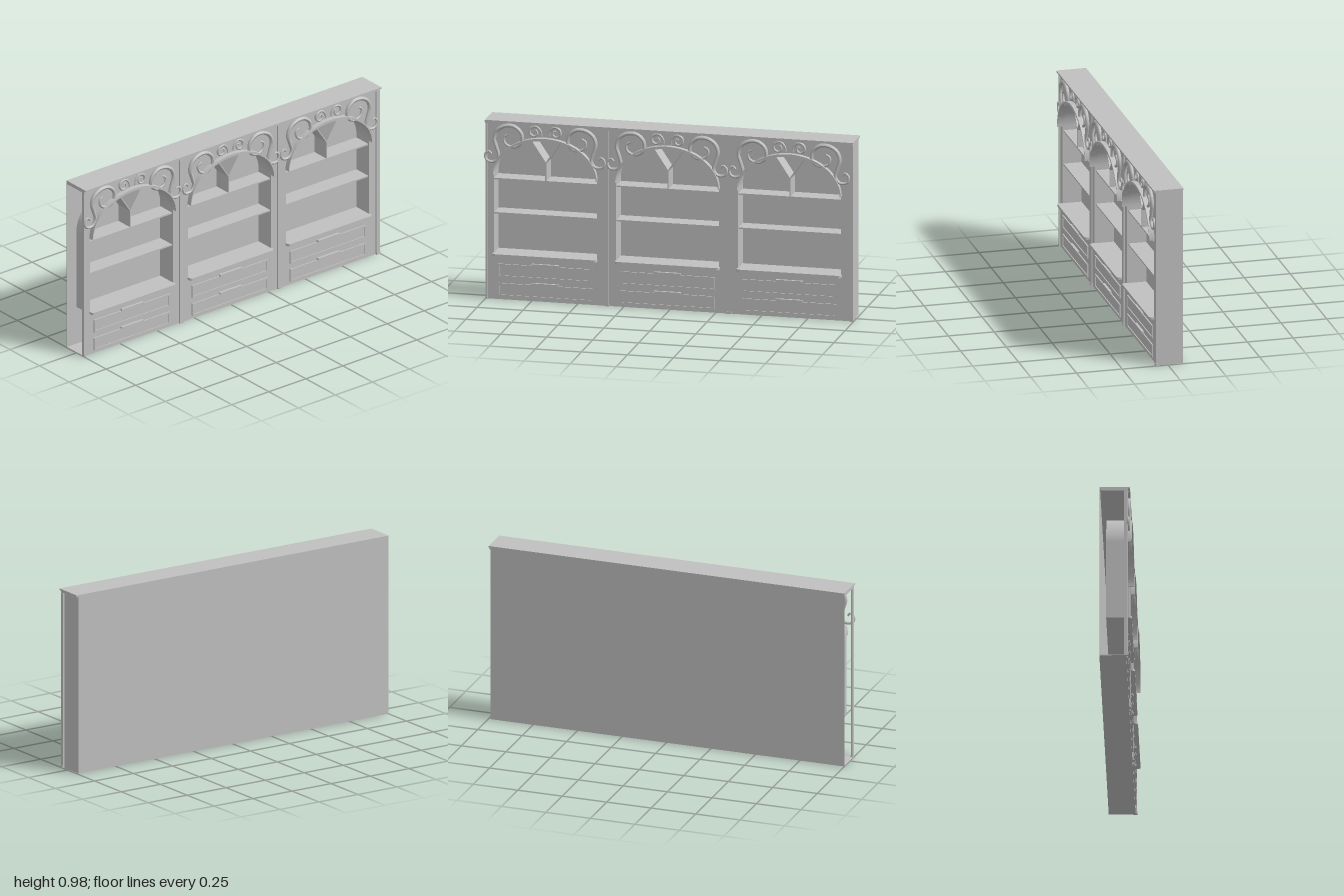
import * as THREE from 'three';

const grey = new THREE.MeshStandardMaterial({ color: 0xc0c0c0 });
grey.name = 'plainGrey';

const BACK = -0.085, FACE = 0.057, BAY_BACK = -0.05;
const HALF = 0.28, SILL = 0.25, SPRING = 0.68, RISE = 0.212;

function add(parent, name, geometry, x = 0, y = 0, z = 0) {
  const mesh = new THREE.Mesh(geometry, grey);
  mesh.name = name;
  mesh.position.set(x, y, z);
  parent.add(mesh);
  return mesh;
}

// box given by its limits on each axis
function slab(parent, name, x0, x1, y0, y1, z0, z1) {
  return add(parent, name, new THREE.BoxGeometry(x1 - x0, y1 - y0, z1 - z0),
    (x0 + x1) / 2, (y0 + y1) / 2, (z0 + z1) / 2);
}

const extrude = (shape, depth) =>
  new THREE.ExtrudeGeometry(shape, { depth, bevelEnabled: false, curveSegments: 32 });

// arched bay outline, grown outwards by g
function archPath(path, cx, g) {
  path.moveTo(cx - HALF - g, SILL - g);
  path.lineTo(cx + HALF + g, SILL - g);
  path.lineTo(cx + HALF + g, SPRING);
  path.absellipse(cx, SPRING, HALF + g, RISE + g, 0, Math.PI, false);
  path.lineTo(cx - HALF - g, SILL - g);
  return path;
}

// round scroll whose radius shrinks towards both ends
function scroll(points, radius, side) {
  const curve = new THREE.CatmullRomCurve3(
    points.map(([x, y]) => new THREE.Vector3(x * side, y, 0)));
  const rings = 72, around = 8;
  const geometry = new THREE.TubeGeometry(curve, rings, radius, around, false);
  const pos = geometry.attributes.position, v = new THREE.Vector3();
  for (let i = 0; i <= rings; i++) {
    const centre = curve.getPointAt(i / rings);
    const k = 0.5 + 0.5 * Math.sin(Math.PI * i / rings);
    for (let j = 0; j <= around; j++) {
      const n = i * (around + 1) + j;
      v.fromBufferAttribute(pos, n).sub(centre).multiplyScalar(k).add(centre);
      pos.setXYZ(n, v.x, v.y, v.z);
    }
  }
  geometry.computeVertexNormals();
  return geometry;
}

const BIG_SCROLL = [
  [0.2, 0.905], [0.222, 0.89], [0.215, 0.855], [0.17, 0.838], [0.128, 0.865],
  [0.128, 0.915], [0.165, 0.95], [0.215, 0.952], [0.26, 0.925], [0.276, 0.88],
  [0.262, 0.83], [0.252, 0.785], [0.275, 0.755], [0.312, 0.757], [0.325, 0.787],
  [0.305, 0.81], [0.29, 0.795]];
const SMALL_SCROLL = [
  [0.018, 0.905], [0.024, 0.935], [0.05, 0.958], [0.08, 0.944], [0.082, 0.918],
  [0.06, 0.904], [0.042, 0.918], [0.048, 0.936], [0.06, 0.932]];

function drawer(y0, y1) {
  const g = new THREE.Group();
  g.name = 'drawer';
  const w = 0.256, t = 0.009, z0 = 0.05, z1 = 0.064;
  slab(g, 'drawerPanel', -w, w, y0, y1, z0, FACE + 0.002);
  for (const y of [y0, y1 - t]) slab(g, 'drawerRail', -w, w, y, y + t, z0, z1);
  for (const x of [-w, w - t]) slab(g, 'drawerStile', x, x + t, y0, y1, z0, z1);
  slab(g, 'drawerHandle', -0.073, 0.073, y1, y1 + 0.011, FACE, 0.071);
  return g;
}

function bay() {
  const g = new THREE.Group();
  g.name = 'bay';

  // lining of walls and vault, with its back panel
  const lining = archPath(new THREE.Shape(), 0, 0.006);
  lining.holes.push(archPath(new THREE.Path(), 0, 0));
  add(g, 'bayLining', extrude(lining, FACE - BAY_BACK), 0, 0, BAY_BACK);
  add(g, 'bayBack', new THREE.ShapeGeometry(archPath(new THREE.Shape(), 0, 0.006), 32),
    0, 0, BAY_BACK + 0.001);

  // projecting arch moulding, pointed at its feet
  const arch = new THREE.Shape();
  arch.absellipse(0, SPRING, HALF + 0.004, RISE + 0.006, 0, Math.PI, false);
  arch.absellipse(0, SPRING, HALF - 0.001, RISE - 0.008, Math.PI, 0, true);
  add(g, 'archMoulding', extrude(arch, 0.085 - 0.045), 0, 0, 0.045);

  // shelves and the sill with rounded front corners
  for (const y of [0.655, 0.468])
    slab(g, 'shelf', -HALF, HALF, y - 0.004, y + 0.004, BAY_BACK, 0.05);
  const w = HALF + 0.004, r = 0.018, f = 0.085;
  const sill = new THREE.Shape();
  sill.moveTo(-w, BAY_BACK);
  sill.lineTo(w, BAY_BACK);
  sill.lineTo(w, f - r);
  sill.quadraticCurveTo(w, f, w - r, f);
  sill.lineTo(-w + r, f);
  sill.quadraticCurveTo(-w, f, -w, f - r);
  add(g, 'sillShelf', extrude(sill, 0.013).rotateX(Math.PI / 2), 0, SILL + 0.001, 0);

  // forked divider under the arch
  slab(g, 'divider', -0.003, 0.003, 0.655, 0.757, BAY_BACK, 0.05);
  for (const s of [-1, 1]) {
    const arm = slab(g, 'dividerArm', -0.003, 0.003, 0, 0.152, BAY_BACK, 0.05);
    arm.position.set(s * 0.042, 0.818, 0);
    arm.rotation.z = -s * Math.atan2(0.084, 0.126);
    add(g, 'largeScroll', scroll(BIG_SCROLL, 0.011, s), 0, 0, 0.068);
    add(g, 'smallScroll', scroll(SMALL_SCROLL, 0.007, s), 0, 0, 0.064);
  }

  g.add(drawer(0.122, 0.194), drawer(0.017, 0.089));
  return g;
}

export function createModel() {
  const model = new THREE.Group();
  model.name = 'wallBookcase';
  const centres = [-0.675, -0.011, 0.651];

  // carcass, with one end left open
  slab(model, 'backPanel', -1, 0.99, 0, 0.98, BACK, BACK + 0.004);
  slab(model, 'topPanel', -1, 0.992, 0.974, 0.98, BACK, 0.06);
  slab(model, 'bottomPanel', -1, 0.99, 0, 0.004, BACK, FACE);
  slab(model, 'sidePanel', 0.984, 0.99, 0, 0.97, BACK, FACE);

  // front board with the arched openings
  const board = new THREE.Shape();
  board.moveTo(-1, 0);
  board.lineTo(0.99, 0);
  board.lineTo(0.99, 0.97);
  board.lineTo(-1, 0.97);
  for (const c of centres) board.holes.push(archPath(new THREE.Path(), c, 0));
  add(model, 'frontBoard', new THREE.ShapeGeometry(board, 32), 0, 0, FACE);

  // pilasters between the bays and at the ends
  for (const [x0, x1] of [[-1, -0.99], [-0.354, -0.33], [0.31, 0.334], [0.976, 0.998]]) {
    slab(model, 'pilaster', x0, x1, 0, 0.96, 0.045, 0.065);
    slab(model, 'pilasterBase', x0, Math.min(x1 + 0.002, 1), 0, 0.012, 0.045, 0.067);
  }

  // stepped cornice along the front and the closed end
  slab(model, 'corniceLower', -1, 0.995, 0.96, 0.972, BACK + 0.005, 0.067);
  slab(model, 'corniceUpper', -1, 1, 0.971, 0.98, BACK, 0.077);

  for (const c of centres) {
    const b = bay();
    b.position.x = c;
    model.add(b);
  }
  return model;
}
